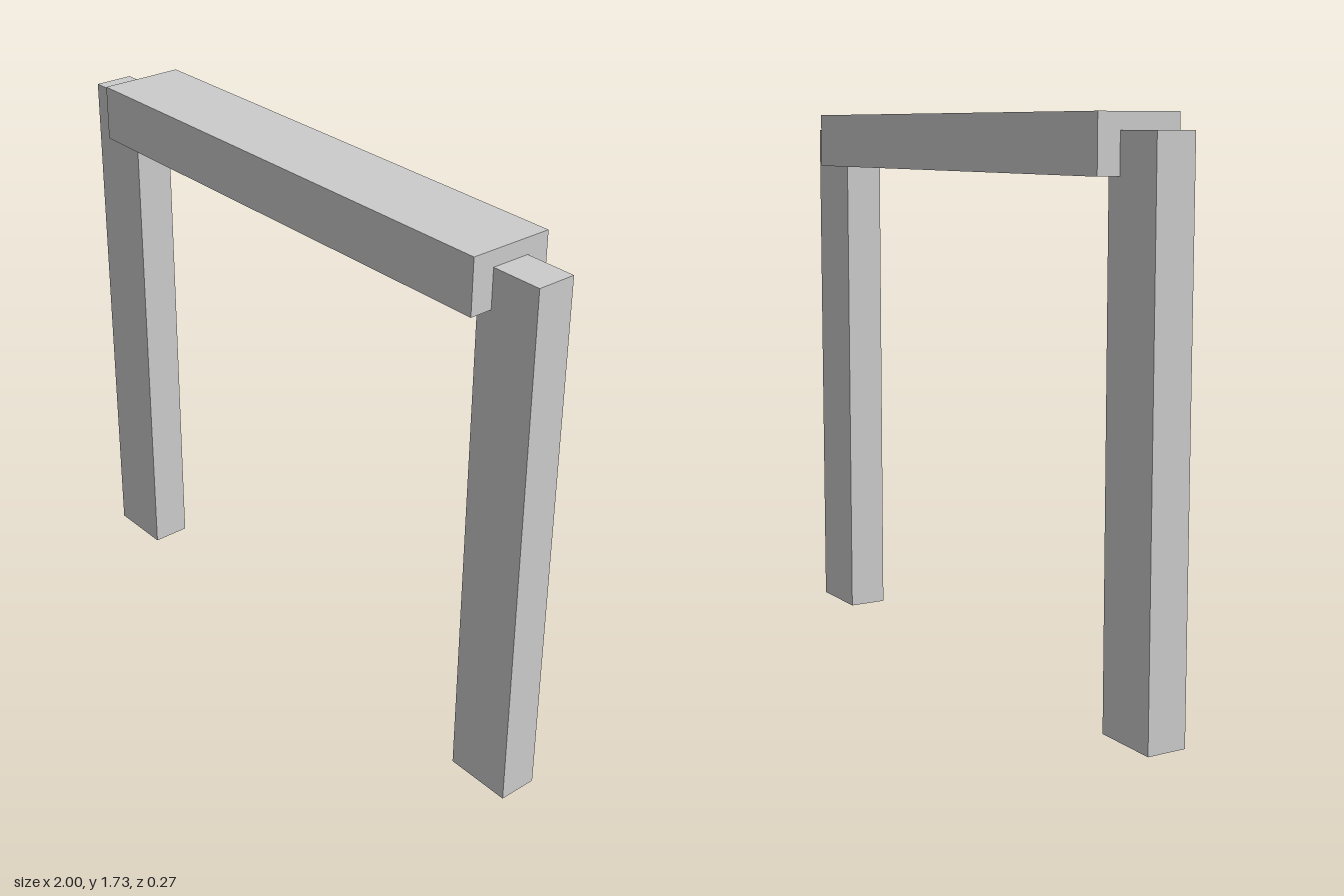
import * as THREE from 'three';

export function createModel() {
  const group = new THREE.Group();
  const material = new THREE.MeshStandardMaterial({ color: 0xcccccc, flatShading: true });

  // Box placed by its centre x and its bottom and top heights
  const addBlock = (name, width, depth, x, bottom, top) => {
    const mesh = new THREE.Mesh(new THREE.BoxGeometry(width, top - bottom, depth), material);
    mesh.name = name;
    mesh.position.set(x, (bottom + top) / 2, 0);
    group.add(mesh);
  };

  // Two upright posts
  const postWidth = 0.216;
  for (const [name, side] of [['leftPost', 1], ['rightPost', -1]]) {
    addBlock(name, postWidth, 0.125, side * (1 - postWidth / 2), 0, 1.682);
  }

  // Wider crossbeam overlapping the post tops
  addBlock('crossbeam', 1.672, 0.271, 0, 1.56, 1.732);

  return group;
}
